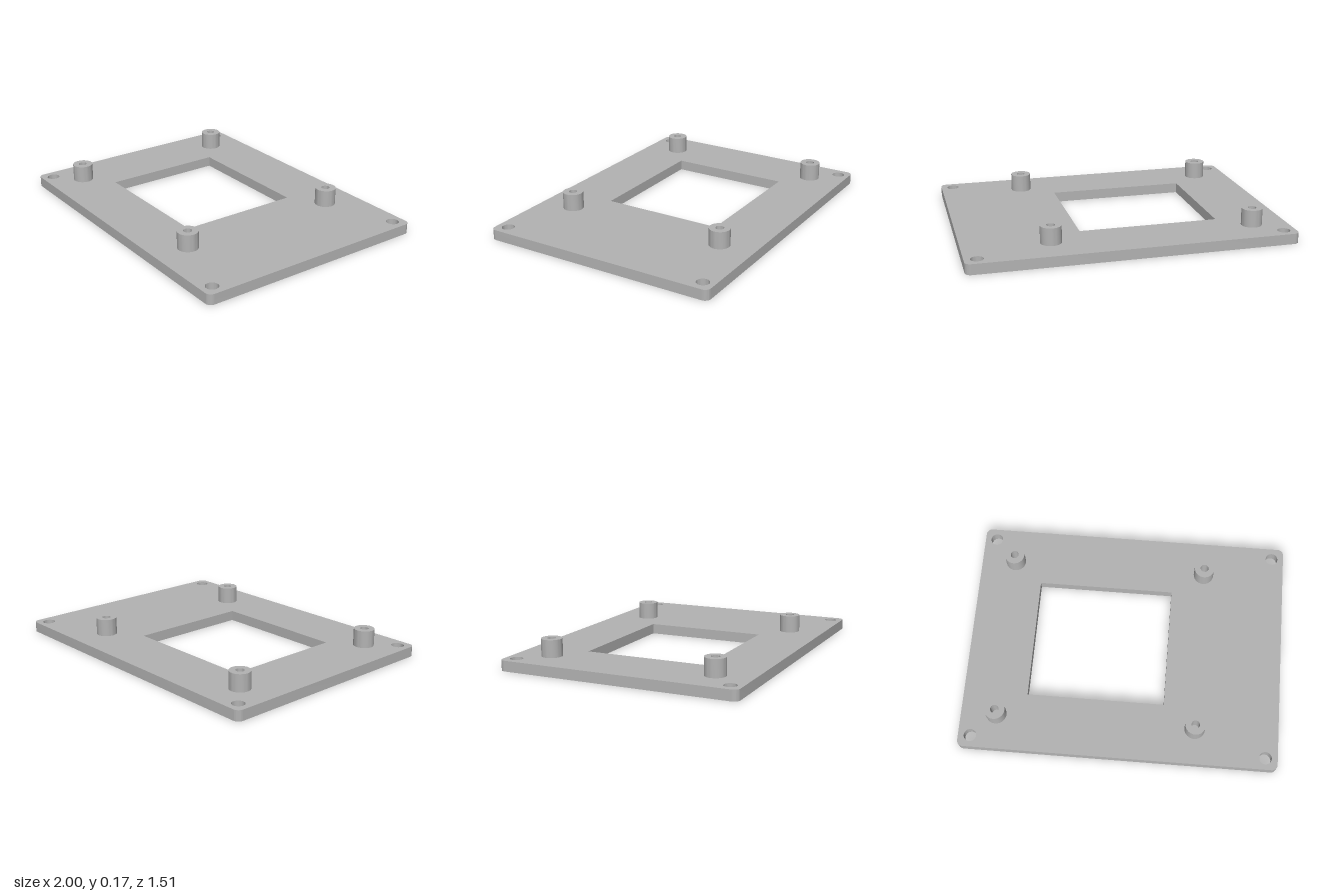
import * as THREE from 'three';
import { toCreasedNormals } from 'three/addons/utils/BufferGeometryUtils.js';

const HALF_X = 1, HALF_Z = 0.753, CORNER = 0.037;
const PLATE_TOP = 0.065, POST_TOP = 0.173;

// Rounded rectangle outline; shape y becomes -z once laid flat
function plateShape() {
  const s = new THREE.Shape();
  const x = HALF_X - CORNER, y = HALF_Z - CORNER, q = Math.PI / 2;
  s.absarc(x, y, CORNER, 0, q);
  s.absarc(-x, y, CORNER, q, 2 * q);
  s.absarc(-x, -y, CORNER, 2 * q, 3 * q);
  s.absarc(x, -y, CORNER, 3 * q, 4 * q);
  s.closePath();

  // Off-centre rectangular window
  s.holes.push(new THREE.Path([
    [-0.595, -0.387], [-0.595, 0.387], [0.272, 0.387], [0.272, -0.387],
  ].map(([px, py]) => new THREE.Vector2(px, py))));

  // Corner screw holes
  for (const sx of [-1, 1]) for (const sy of [-1, 1]) {
    s.holes.push(new THREE.Path().absarc(sx * 0.924, sy * 0.68, 0.039, 0, Math.PI * 2, true));
  }
  return s;
}

export function createModel() {
  const group = new THREE.Group();
  group.name = 'mountingPlate';
  const grey = new THREE.MeshStandardMaterial({ color: 0xb3b3b3 });
  grey.name = 'grey';

  // Base plate
  const plateGeo = new THREE.ExtrudeGeometry(plateShape(), {
    depth: PLATE_TOP, bevelEnabled: false, curveSegments: 16,
  }).rotateX(-Math.PI / 2);
  const plate = new THREE.Mesh(toCreasedNormals(plateGeo, 0.6), grey);
  plate.name = 'basePlate';
  group.add(plate);

  // Hollow standoff posts; the plate closes the bottom of each bore
  const profile = [
    [0.064, PLATE_TOP], [0.064, POST_TOP], [0.026, POST_TOP], [0.026, PLATE_TOP],
  ].map(([r, y]) => new THREE.Vector2(r, y));
  const postGeo = toCreasedNormals(new THREE.LatheGeometry(profile, 40), 0.6);
  for (const x of [-0.776, 0.475]) for (const z of [-0.529, 0.529]) {
    const post = new THREE.Mesh(postGeo, grey);
    post.name = 'standoffPost';
    post.position.set(x, 0, z);
    group.add(post);
  }
  return group;
}
